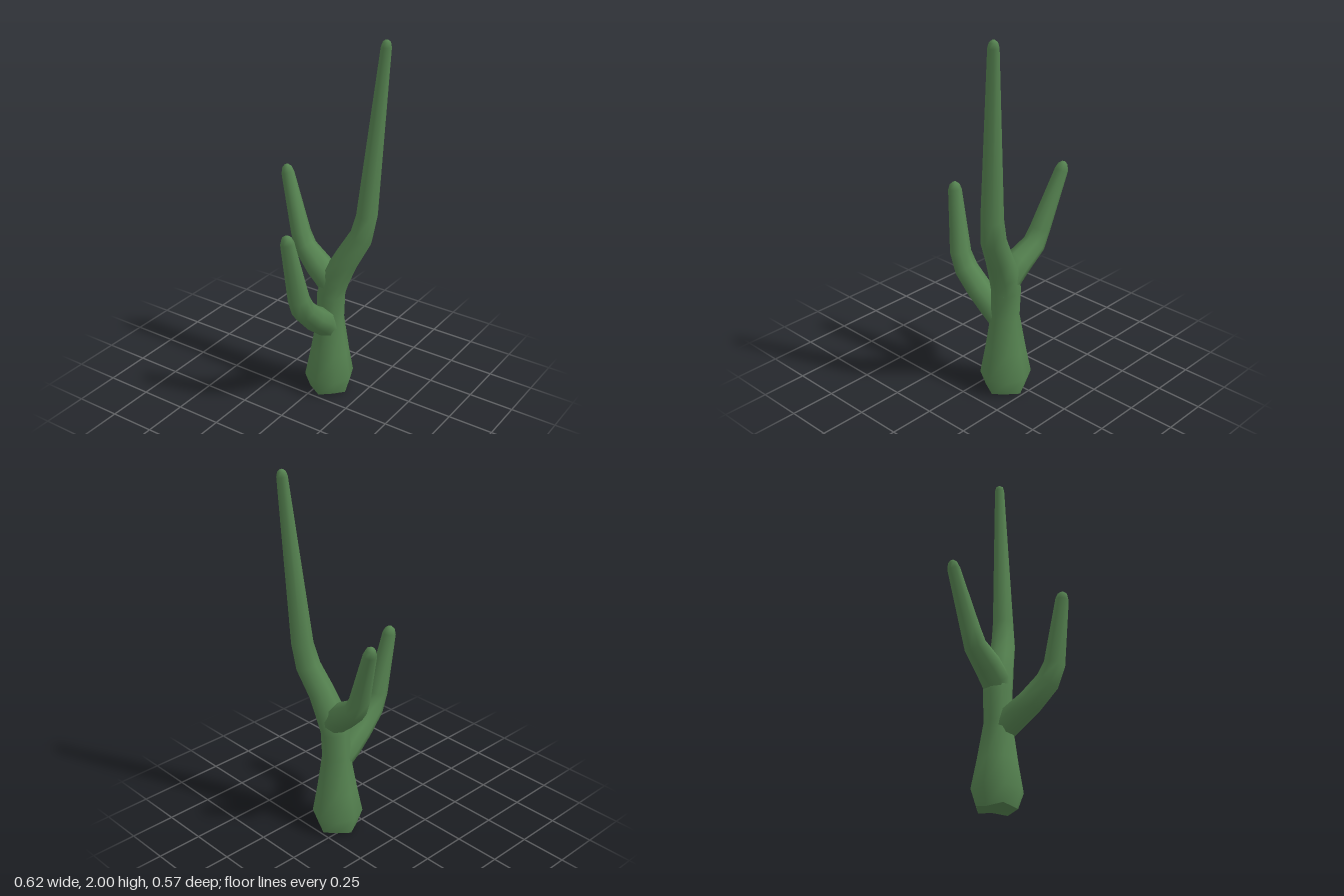
import * as THREE from 'three';

const SIDES = 8;
const green = new THREE.MeshStandardMaterial({ color: 0x558250 });
green.name = 'cactusGreen';

// Smooth eight-sided limb through [x, y, z, radius] rings, closed by a point at the tip.
function limb(name, rings, refAxis, scallop = 0) {
  const centres = rings.map(([x, y, z]) => new THREE.Vector3(x, y, z));
  const last = rings.length - 1;
  const pos = [], index = [];
  rings.forEach((ring, k) => {
    const t = k === 0 && scallop
      ? new THREE.Vector3(0, 1, 0)
      : centres[Math.min(k + 1, last)].clone().sub(centres[Math.max(k - 1, 0)]).normalize();
    const u = refAxis.clone().addScaledVector(t, -refAxis.dot(t)).normalize();
    const v = t.clone().cross(u);
    for (let i = 0; i < SIDES; i++) {
      const a = (i / SIDES) * Math.PI * 2;
      const p = centres[k].clone()
        .addScaledVector(u, ring[3] * Math.cos(a))
        .addScaledVector(v, ring[3] * Math.sin(a));
      if (k === 0 && i % 2) p.y += scallop;
      pos.push(p.x, p.y, p.z);
      if (k < last) {
        const j = (i + 1) % SIDES, b = k * SIDES, c = b + SIDES;
        index.push(b + i, b + j, c + j, b + i, c + j, c + i);
      }
    }
  });
  // tip
  const tip = pos.length / 3, b = last * SIDES;
  pos.push(...centres[last].toArray());
  for (let i = 0; i < SIDES; i++) index.push(b + i, b + ((i + 1) % SIDES), tip);

  const geo = new THREE.BufferGeometry();
  geo.setAttribute('position', new THREE.Float32BufferAttribute(pos, 3));
  geo.setIndex(index);
  geo.computeVertexNormals();
  const mesh = new THREE.Mesh(geo, green);
  mesh.name = name;
  return mesh;
}

export function createModel() {
  const group = new THREE.Group();
  group.name = 'branchingCactus';
  const X = new THREE.Vector3(1, 0, 0), Z = new THREE.Vector3(0, 0, 1);

  // Trunk running on into the tall left arm
  group.add(limb('trunkAndTallArm', [
    [0.055, 0, -0.13, 0.107],
    [0.055, 0.1, -0.13, 0.136],
    [0.057, 0.25, -0.13, 0.108],
    [0.06, 0.45, -0.13, 0.076],
    [0.06, 0.6, -0.135, 0.078],
    [0.085, 0.7, -0.145, 0.08],
    [0.135, 0.81, -0.158, 0.071],
    [0.207, 0.95, -0.185, 0.066],
    [0.232, 1.08, -0.2, 0.058],
    [0.282, 1.965, -0.256, 0.028],
    [0.283, 1.99, -0.257, 0.021],
    [0.283, 2.0, -0.257, 0.009],
  ], Z, 0.018));

  // Shorter right arm
  group.add(limb('rightArm', [
    [0.085, 0.58, -0.137, 0.055],
    [0.045, 0.68, -0.14, 0.078],
    [-0.03, 0.738, -0.145, 0.073],
    [-0.125, 0.812, -0.163, 0.061],
    [-0.162, 0.89, -0.17, 0.054],
    [-0.274, 1.195, -0.21, 0.035],
    [-0.282, 1.225, -0.212, 0.025],
    [-0.286, 1.238, -0.213, 0.01],
  ], Z));

  // Low front arm
  group.add(limb('frontArm', [
    [0.06, 0.38, -0.13, 0.06],
    [0.06, 0.465, -0.045, 0.073],
    [0.065, 0.535, 0.05, 0.068],
    [0.07, 0.628, 0.145, 0.064],
    [0.07, 0.715, 0.186, 0.057],
    [0.045, 1.05, 0.247, 0.036],
    [0.044, 1.078, 0.25, 0.026],
    [0.044, 1.09, 0.251, 0.01],
  ], X));

  // Underside, following the scalloped rim
  const base = new THREE.CircleGeometry(0.107, SIDES).rotateX(Math.PI / 2);
  const p = base.attributes.position;
  for (let i = 2; i < p.count; i += 2) p.setY(i, 0.018);
  p.setY(0, 0.009);
  base.computeVertexNormals();
  const underside = new THREE.Mesh(base, green);
  underside.name = 'underside';
  underside.position.set(0.055, 0, -0.13);
  group.add(underside);

  return group;
}
